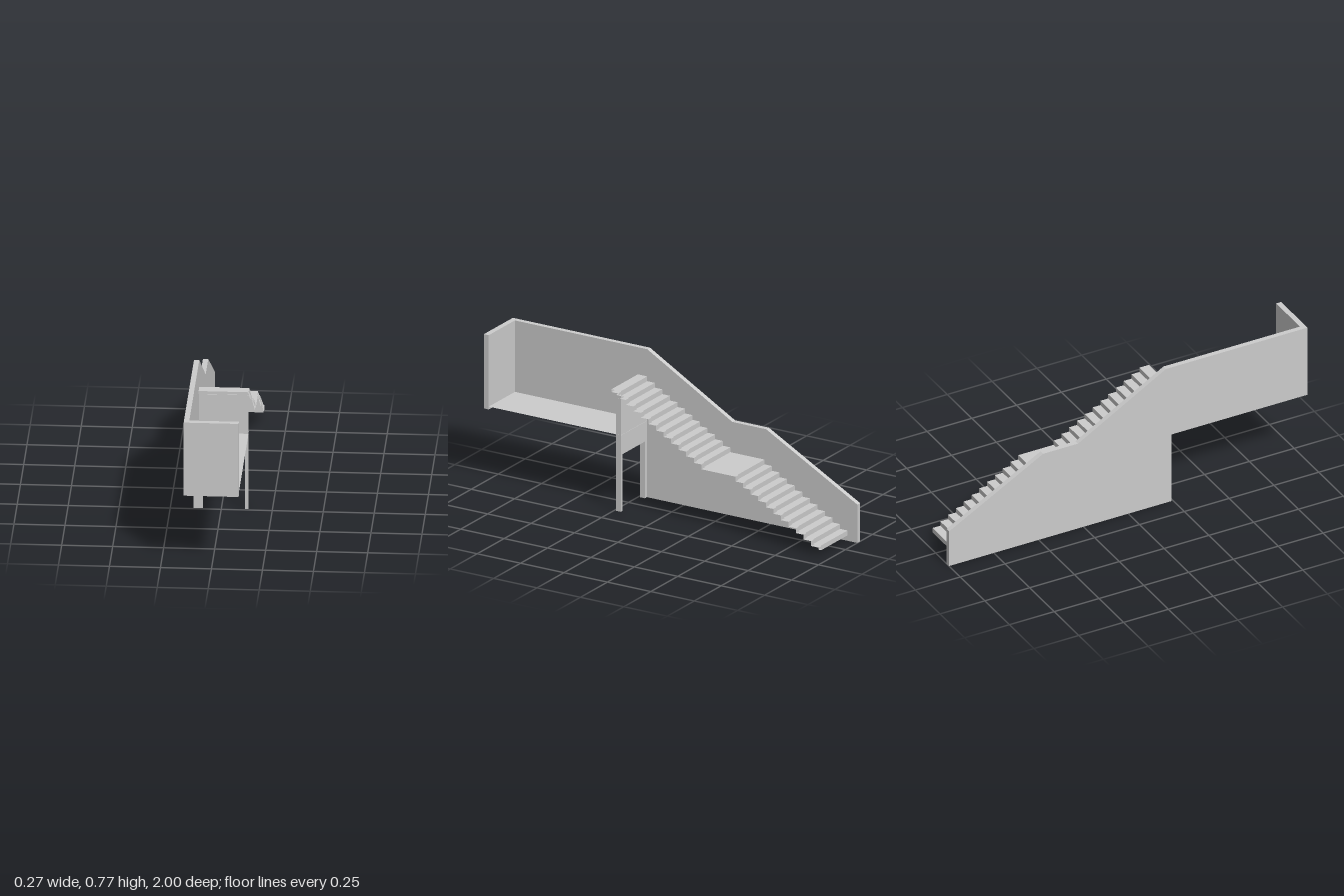
import * as THREE from 'three';

const grey = new THREE.MeshStandardMaterial({ color: 0xcccccc, flatShading: true });
const greyThin = new THREE.MeshStandardMaterial({ color: 0xcccccc, flatShading: true, side: THREE.DoubleSide });

const LEFT = -0.11, RIGHT = 0.135; // clear width between the wall and the open side

function mesh(name, geometry, material = grey) {
  const m = new THREE.Mesh(geometry, material);
  m.name = name;
  return m;
}

function box(name, x0, x1, y0, y1, z0, z1) {
  const g = new THREE.BoxGeometry(x1 - x0, y1 - y0, z1 - z0);
  g.translate((x0 + x1) / 2, (y0 + y1) / 2, (z0 + z1) / 2);
  return mesh(name, g);
}

// Extrude an outline, without shading bevels
function slab(points, depth) {
  const shape = new THREE.Shape(points.map(([x, y]) => new THREE.Vector2(x, y)));
  return new THREE.ExtrudeGeometry(shape, { depth, bevelEnabled: false });
}

// Sweep a closed [z, y] profile across x, leaving both ends open
function openSweep(profile, x0, x1) {
  const pos = [];
  profile.forEach(([az, ay], i) => {
    const [bz, by] = profile[(i + 1) % profile.length];
    pos.push(x0, ay, az, x0, by, bz, x1, by, bz);
    pos.push(x0, ay, az, x1, by, bz, x1, ay, az);
  });
  const g = new THREE.BufferGeometry();
  g.setAttribute('position', new THREE.Float32BufferAttribute(pos, 3));
  g.computeVertexNormals();
  return g;
}

// Two flights of steps with a landing between them and a top step
function stairGeometry() {
  const rise = 0.0251, going = 0.0435, landing = 0.197, topStep = 0.054;
  const thick = 0.0147;
  const upper = [], lower = [];
  let z = -0.944, y = 0.0287;
  upper.push([z, y]);
  lower.push([z + thick, y]);
  for (let i = 0; i < 24; i++) {
    const run = i === 11 ? landing : i === 23 ? topStep : going;
    y += rise;
    upper.push([z, y], [z + run, y]);
    const end = i === 23 ? z + run : z + run + thick;
    lower.push([z + thick, y - thick], [end, y - thick]);
    z += run;
  }
  return openSweep([...upper, ...lower.reverse()], LEFT, RIGHT);
}

export function createModel() {
  const model = new THREE.Group();
  model.name = 'staircase';

  // Side wall following the slope of the stairs and carrying on along the walkway
  const wall = slab([
    [-1, 0], [0.24, 0], [0.24, 0.385], [1, 0.385], [1, 0.773],
    [0.21, 0.773], [-0.28, 0.49], [-0.475, 0.49], [-1, 0.2],
  ], 0.026);
  wall.rotateY(-Math.PI / 2);
  wall.translate(LEFT, 0, 0);
  model.add(mesh('sideWall', wall));

  // Parapet closing the end of the walkway
  model.add(box('endParapet', LEFT, 0.133, 0.385, 0.773, 0.972, 1));

  // Walkway floor, a thin sheet
  const floor = new THREE.PlaneGeometry(0.133 - LEFT, 0.972 - 0.21);
  floor.rotateX(-Math.PI / 2);
  floor.translate((0.133 + LEFT) / 2, 0.4, (0.972 + 0.21) / 2);
  model.add(mesh('walkwayFloor', floor, greyThin));

  // Cross wall under the top step, with a doorway between two legs
  const cross = slab([
    [LEFT, 0], [-0.091, 0], [-0.091, 0.296], [0.117, 0.296],
    [0.117, 0], [0.132, 0], [0.132, 0.605], [LEFT, 0.605],
  ], 0.028);
  cross.translate(0, 0, 0.212);
  model.add(mesh('doorwayWall', cross));

  model.add(mesh('stairs', stairGeometry(), greyThin));
  return model;
}
